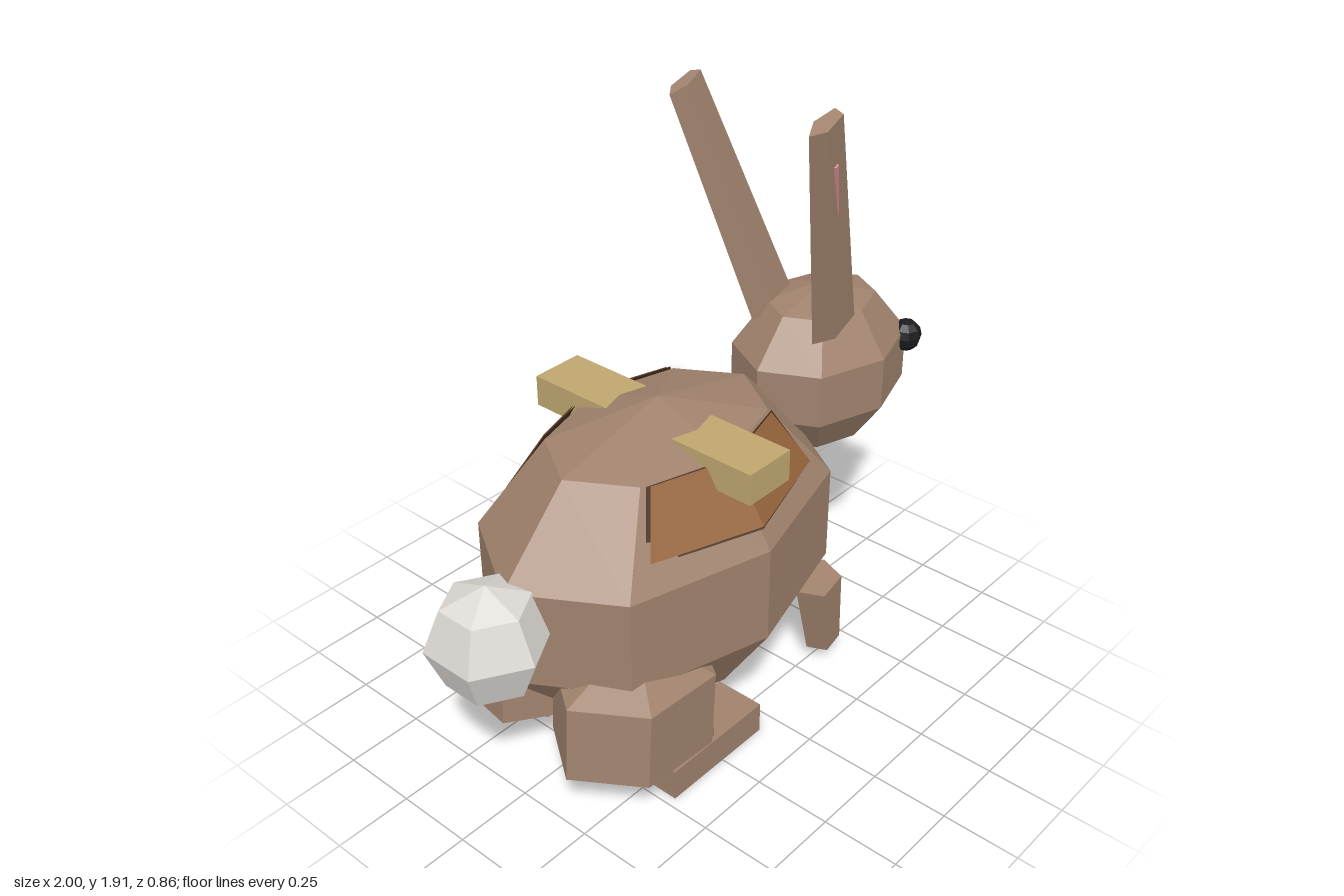
import * as THREE from 'three';

const paint = (name, color) => {
  const m = new THREE.MeshStandardMaterial({ color, flatShading: true, side: THREE.DoubleSide });
  m.name = name;
  return m;
};

export function createModel() {
  const model = new THREE.Group();
  model.name = 'rabbit';
  const fur = paint('brown fur', 0xa0826d);
  const fluff = paint('pale fluff', 0xdddad5);
  const black = paint('eye black', 0x1a1b1d);
  const pink = paint('pink', 0xd88b8f);
  const leather = paint('saddle leather', 0x96653c);
  const trim = paint('dark trim', 0x4a321f);
  const tan = paint('tan strap', 0xbfa670);

  function add(name, geometry, material) {
    const mesh = new THREE.Mesh(geometry, material);
    mesh.name = name;
    model.add(mesh);
    return mesh;
  }

  // Faceted ellipsoid; spin turns its facets before stretching, tilt leans it afterwards
  function blob(name, material, [x, y, z], [rx, ry, rz], sides, rings, spin = 0, tilt = 0) {
    const g = new THREE.SphereGeometry(1, sides, rings);
    g.rotateY(spin).scale(rx, ry, rz).rotateZ(tilt).translate(x, y, z);
    return add(name, g, material);
  }

  // Tapered five-sided rod between two points; s = -1 mirrors it in z
  function limb(name, material, from, to, r0, r1, flat, s) {
    const a = new THREE.Vector3(...from), b = new THREE.Vector3(...to);
    const d = b.clone().sub(a);
    const g = new THREE.CylinderGeometry(r1, r0, d.length(), 5, 1, false, 0.85);
    g.scale(1, 1, flat);
    g.applyQuaternion(new THREE.Quaternion().setFromUnitVectors(new THREE.Vector3(0, 1, 0), d.normalize()));
    g.translate(...a.add(b).multiplyScalar(0.5).toArray());
    add(name, g, material).scale.z = s;
  }

  function facets(name, material, points, index) {
    const g = new THREE.BufferGeometry();
    g.setAttribute('position', new THREE.Float32BufferAttribute(points.flat(), 3));
    g.setIndex(index);
    g.computeVertexNormals();
    return add(name, g, material);
  }

  // Body, head and tail
  blob('body', fur, [-0.14, 0.61, 0], [0.672, 0.505, 0.452], 8, 5);
  blob('head', fur, [0.64, 0.913, 0], [0.337, 0.285, 0.268], 8, 5);
  blob('tail', fluff, [-0.84, 0.645, 0], [0.184, 0.184, 0.184], 6, 4, Math.PI / 6);
  blob('nose', pink, [0.965, 0.867, 0], [0.038, 0.052, 0.055], 6, 3);

  // Chest patch wrapped round the front ridge of the body
  facets('chestPatch', fluff, [
    [0.43, 0.37, 0], [0.275, 0.215, 0],
    [0.43, 0.45, 0.13], [0.23, 0.27, 0.17], [0.37, 0.27, 0.06],
    [0.43, 0.45, -0.13], [0.23, 0.27, -0.17], [0.37, 0.27, -0.06],
  ], [0, 4, 2, 2, 4, 3, 3, 4, 1, 0, 5, 7, 5, 6, 7, 6, 1, 7, 0, 7, 4, 1, 4, 7]);

  // Strap bar running through the back
  add('strapBar', new THREE.BoxGeometry(0.175, 0.1, 0.835).translate(-0.137, 1.01, 0), tan);

  // Bent saddle panel; grow widens it and lift moves it off the body
  function panel(name, material, grow, lift, s) {
    const points = [
      [-0.49 - grow, 0.845 - grow, 0.28], [-0.14, 0.84 - grow, 0.395 + grow * 0.6], [0.225 + grow, 0.838 - grow, 0.28],
      [-0.4 - grow, 1.02, 0.2], [-0.14, 1.02, 0.28], [0.13 + grow, 1.02, 0.2],
    ].map(([x, y, z]) => [x, y, z + lift]);
    facets(name, material, points, [0, 1, 4, 0, 4, 3, 1, 2, 5, 1, 5, 4]).scale.z = s;
  }

  for (const s of [1, -1]) {
    const side = s > 0 ? 'PlusZ' : 'MinusZ';
    panel('saddleTrim' + side, trim, 0.01, 0, s);
    panel('saddlePanel' + side, leather, 0, 0.008, s);

    blob('eye' + side, black, [0.857, 0.982, 0.19 * s], [0.052, 0.054, 0.052], 8, 6);
    limb('ear' + side, fur, [0.535, 1.12, 0.125], [0.268, 1.89, 0.256], 0.1, 0.072, 0.42, s);

    // Legs
    limb('frontLeg' + side, fur, [0.315, 0.335, 0.27], [0.37, 0.058, 0.262], 0.088, 0.066, 0.9, s);
    limb('hindLeg' + side, fur, [-0.375, 0.345, 0.295], [-0.305, 0.055, 0.285], 0.092, 0.072, 0.9, s);
    add('foot' + side, new THREE.BoxGeometry(0.4, 0.105, 0.165).translate(-0.27, 0.0525, 0.272 * s), fur);
  }

  // Haunches, each with its own facet direction
  blob('haunchPlusZ', fur, [-0.48, 0.3, 0.2], [0.32, 0.25, 0.26], 6, 3, 0, -0.06);
  blob('haunchMinusZ', fur, [-0.45, 0.3, -0.2], [0.33, 0.25, 0.265], 6, 3, 0.4, -0.06);

  // Sliver of inner ear
  limb('innerEar', pink, [0.386, 1.57, 0.226], [0.32, 1.75, 0.257], 0.006, 0.012, 0.8, 1);

  return model;
}
